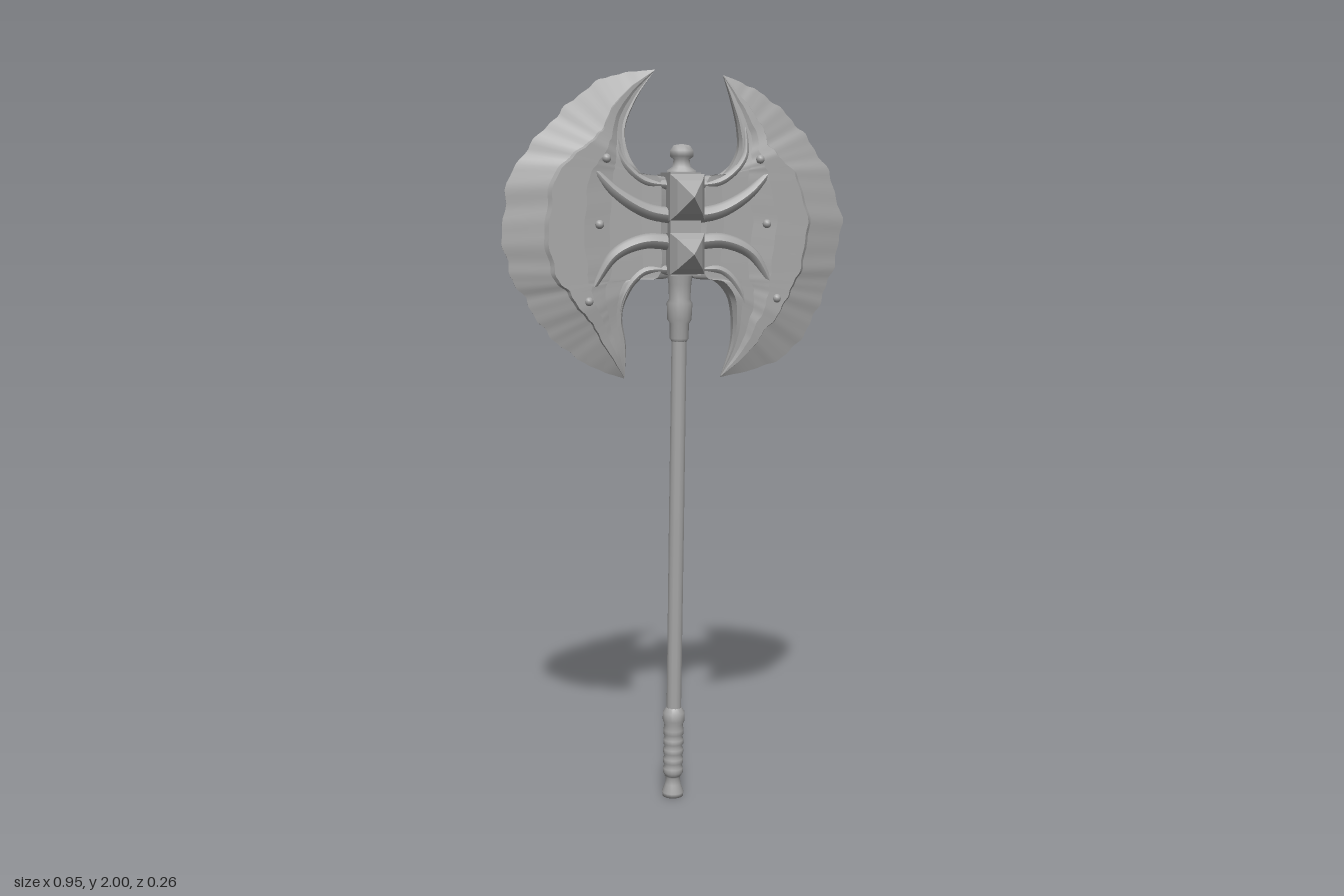
import * as THREE from 'three';

const steel = new THREE.MeshStandardMaterial({ color: 0xa6a6a6 });
steel.name = 'grey steel';

// Outlines run from the upper horn to the lower horn, with matching stations
const outlines = {
  right: {
    side: -1,
    outer: [[-.06, 2], [-.14, 1.99], [-.21, 1.97], [-.29, 1.91], [-.36, 1.84], [-.44, 1.74], [-.47, 1.6],
      [-.455, 1.48], [-.41, 1.4], [-.36, 1.32], [-.3, 1.265], [-.23, 1.22], [-.15, 1.19]],
    inner: [[-.065, 1.995], [-.115, 1.92], [-.145, 1.84], [-.13, 1.77], [-.085, 1.72], [-.03, 1.72], [-.02, 1.6],
      [-.03, 1.46], [-.1, 1.46], [-.14, 1.41], [-.155, 1.36], [-.145, 1.28], [-.147, 1.195]],
  },
  left: {
    side: 1,
    outer: [[.125, 1.99], [.18, 1.97], [.24, 1.94], [.31, 1.885], [.37, 1.82], [.43, 1.73], [.467, 1.6],
      [.445, 1.48], [.41, 1.39], [.365, 1.3], [.3, 1.235], [.22, 1.205], [.12, 1.185]],
    inner: [[.127, 1.985], [.148, 1.92], [.165, 1.85], [.165, 1.79], [.12, 1.725], [.05, 1.72], [.04, 1.6],
      [.04, 1.46], [.1, 1.45], [.14, 1.41], [.153, 1.35], [.15, 1.28], [.123, 1.19]],
  },
};

function mesh(name, geometry) {
  const m = new THREE.Mesh(geometry, steel);
  m.name = name;
  return m;
}

const toCurve = (pts) => new THREE.CatmullRomCurve3(pts.map(([x, y, z = 0]) => new THREE.Vector3(x, y, z)));

// Crescent blade: bevel, raised plate, sunken web and thick inner edge
function bladeGeometry({ side, outer, inner }) {
  const steps = 96;
  const outerCurve = toCurve(outer), innerCurve = toCurve(inner);
  const sections = [];
  for (let i = 0; i <= steps; i++) {
    const t = i / steps;
    const o = outerCurve.getPoint(t), n = innerCurve.getPoint(t);
    const span = o.distanceTo(n);
    // small nicks along the cutting edge
    const nick = (.004 * Math.sin(t * 71 + side) + .003 * Math.sin(t * 137)) * Math.sin(Math.PI * t);
    o.lerp(n, nick / Math.max(span, .05));
    const ridge = Math.min(.105, span * .5) / Math.max(span, .001);
    const thick = Math.min(1, Math.pow(span / .26, .75));
    const at = (w, z) => o.clone().lerp(n, w).setZ(z * thick);
    const web = (f) => ridge + (1 - ridge) * f;
    const front = [at(0, .0005), at(ridge, .032), at(web(.03), .041), at(web(.3), .04),
      at(web(.5), .031), at(web(.75), .03), at(web(.9), .033), at(1, .014)];
    const back = front.map((p) => p.clone().setZ(-p.z)).reverse();
    sections.push([...front, ...back]);
  }
  // separate strips keep the edges between bands crisp
  const pos = [], index = [];
  const count = sections[0].length;
  for (let k = 0; k < count; k++) {
    const base = pos.length / 3;
    for (const s of sections) pos.push(...s[k].toArray(), ...s[(k + 1) % count].toArray());
    for (let i = 0; i < steps; i++) {
      const a = base + i * 2, b = a + 2, c = a + 1, d = a + 3;
      if (side < 0) index.push(a, b, c, c, b, d);
      else index.push(a, c, b, c, d, b);
    }
  }
  const g = new THREE.BufferGeometry();
  g.setAttribute('position', new THREE.Float32BufferAttribute(pos, 3));
  g.setIndex(index);
  g.computeVertexNormals();
  return g;
}

// Raised arm that swells in the middle and sinks into the blade at its end
function armGeometry(points, radius) {
  const curve = toCurve(points);
  const g = new THREE.TubeGeometry(curve, 24, radius, 8, false);
  const p = g.attributes.position, v = new THREE.Vector3();
  for (let i = 0; i < p.count; i++) {
    const u = Math.floor(i / 9) / 24;
    const c = curve.getPointAt(u);
    v.fromBufferAttribute(p, i).sub(c).multiplyScalar(1 - .65 * u * u).add(c);
    p.setXYZ(i, v.x, v.y, v.z);
  }
  g.computeVertexNormals();
  return g;
}

function lathe(name, profile, sides = 16) {
  return mesh(name, new THREE.LatheGeometry(profile.map(([r, y]) => new THREE.Vector2(r, y)), sides));
}

// Four-sided stud with a bulging base and pointed tip
function studGeometry(w, h) {
  const rings = [[1, 0], [1, .018], [.72, .045], [0, .085]];
  const pos = [];
  const corner = (r, k) => [
    (k === 0 || k === 3 ? 1 : -1) * rings[r][0] * w / 2,
    (k < 2 ? 1 : -1) * rings[r][0] * h / 2, rings[r][1]];
  for (let r = 0; r < 3; r++) for (let k = 0; k < 4; k++) {
    const n = (k + 1) % 4;
    const a = corner(r, k), b = corner(r, n), c = corner(r + 1, n), d = corner(r + 1, k);
    pos.push(...a, ...b, ...c, ...a, ...c, ...d);
  }
  const g = new THREE.BufferGeometry();
  g.setAttribute('position', new THREE.Float32BufferAttribute(pos, 3));
  g.computeVertexNormals();
  return g;
}

export function createModel() {
  const model = new THREE.Group();
  model.name = 'doubleAxe';

  // Blades with raised arms and rivets on both faces
  for (const [name, outline] of Object.entries(outlines)) {
    const s = outline.side, cx = .009;
    const blade = new THREE.Group();
    blade.name = name + 'Blade';
    blade.add(mesh('crescent', bladeGeometry(outline)));
    for (const f of [1, -1]) {
      const place = (pts) => pts.map(([x, y, z]) => [cx + s * x, y, f * z]);
      blade.add(mesh('upperArm', armGeometry(place([[.02, 1.62, .03], [.1, 1.635, .033], [.18, 1.68, .034], [.25, 1.75, .028]]), .021)));
      blade.add(mesh('lowerArm', armGeometry(place([[.02, 1.55, .03], [.11, 1.555, .033], [.19, 1.52, .034], [.25, 1.43, .03]]), .021)));
      blade.add(mesh('upperRim', armGeometry(place([[.03, 1.7, .02], [.11, 1.715, .022], [.17, 1.775, .022], [.175, 1.86, .012]]), .014)));
      blade.add(mesh('lowerRim', armGeometry(place([[.03, 1.48, .02], [.11, 1.475, .022], [.165, 1.41, .022], [.175, 1.32, .012]]), .014)));
      for (const [x, y] of [[.21, 1.77], [.26, 1.4], [.23, 1.6]]) {
        const rivet = mesh('rivet', new THREE.SphereGeometry(.012, 10, 8));
        rivet.position.set(cx + s * x, y, f * .038);
        blade.add(rivet);
      }
    }
    model.add(blade);
  }

  // Haft leans very slightly
  const haft = new THREE.Group();
  haft.name = 'haft';
  haft.position.x = -.014;
  haft.rotation.z = -.0145;
  haft.add(lathe('pole', [[.021, .22], [.0215, .8], [.021, 1.35]], 12));
  haft.add(lathe('pommel', [[0, 0], [.029, 0], [.031, .012], [.022, .035], [.02, .055], [.026, .062]]));
  const grip = [[.02, .055]];
  for (let i = 0; i < 5; i++) grip.push([.024, .062 + i * .028], [.0285, .07 + i * .028], [.0285, .082 + i * .028]);
  grip.push([.026, .21], [.031, .222], [.031, .245], [.02, .26]);
  haft.add(lathe('grip', grip));
  haft.add(lathe('neckCollar', [[.02, 1.285], [.026, 1.295], [.026, 1.335], [.033, 1.345], [.035, 1.39], [.029, 1.4],
    [.031, 1.44], [.036, 1.48]]));
  haft.add(lathe('finial', [[.04, 1.725], [.04, 1.74], [.025, 1.75], [.022, 1.77], [.032, 1.777], [.032, 1.792],
    [.022, 1.806], [0, 1.81]], 12));
  model.add(haft);

  // Central socket with two bands, each carrying a stud front and back
  const socket = new THREE.Group();
  socket.name = 'socket';
  socket.position.x = .009;
  const core = mesh('socketCore', new THREE.BoxGeometry(.084, .27, .1));
  core.position.y = 1.6;
  socket.add(core);
  for (const [y, h] of [[1.67, .12], [1.523, .108]]) {
    const band = mesh('band', new THREE.BoxGeometry(.094, h, .1));
    band.position.y = y;
    socket.add(band);
    for (const f of [0, 1]) {
      const stud = mesh('stud', studGeometry(.094, h));
      stud.position.set(0, y, f ? -.047 : .047);
      stud.rotation.y = f * Math.PI;
      socket.add(stud);
    }
  }
  model.add(socket);
  return model;
}
